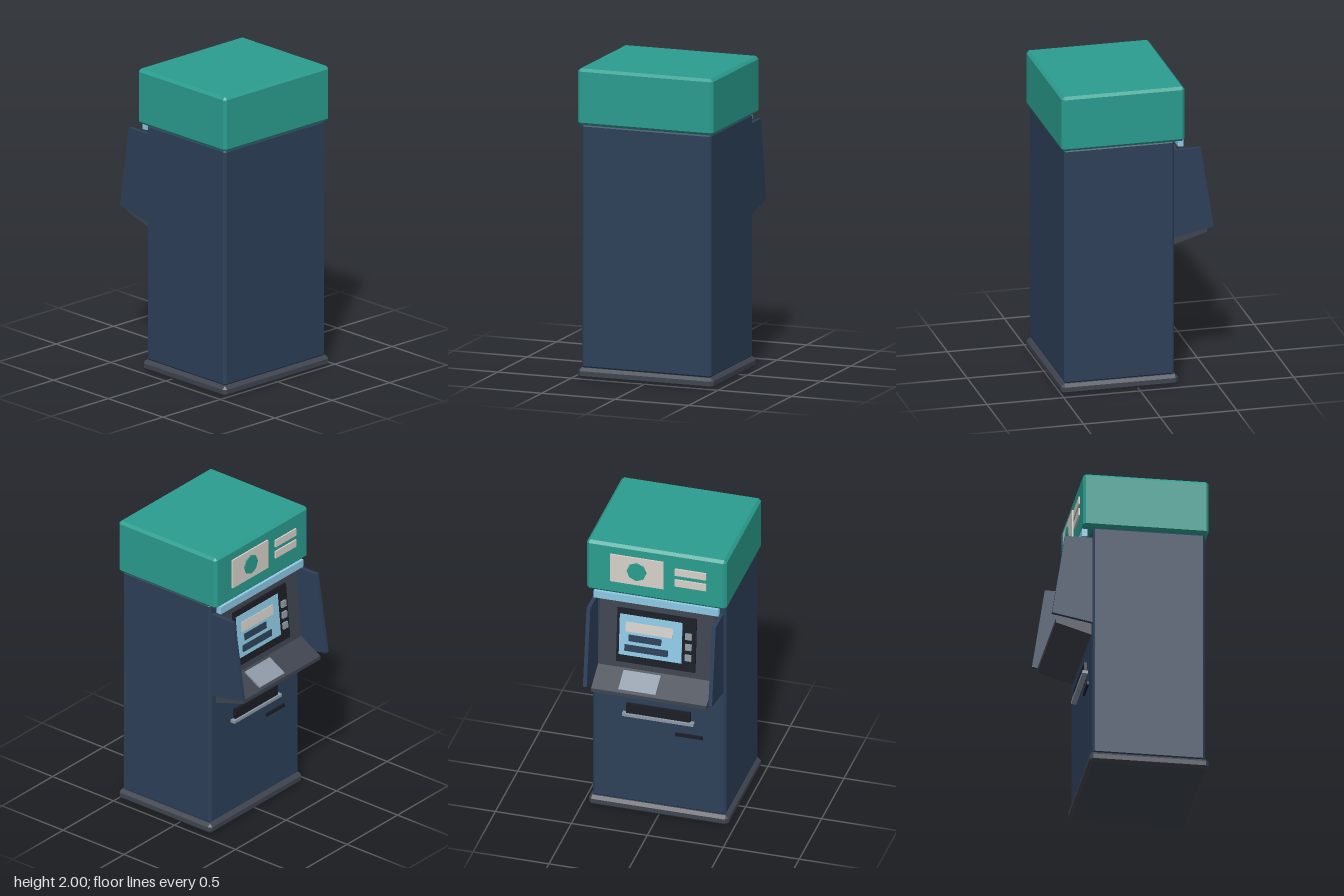
import * as THREE from 'three';
import { ConvexGeometry } from 'three/addons/geometries/ConvexGeometry.js';

const mat = (name, color) => {
  const m = new THREE.MeshStandardMaterial({ color });
  m.name = name;
  return m;
};

export function createModel() {
  const teal = mat('teal', 0x2a9d8f);
  const navy = mat('navy', 0x2d4059);
  const grey = mat('dark grey', 0x3f444f);
  const black = mat('near black', 0x1c1e26);
  const blue = mat('light blue', 0x8ecae6);
  const cream = mat('cream', 0xd8d3cb);
  const silver = mat('silver', 0x8d99a6);

  const root = new THREE.Group();
  root.name = 'kiosk';

  const add = (parent, name, geometry, material) => {
    const mesh = new THREE.Mesh(geometry, material);
    mesh.name = name;
    parent.add(mesh);
    return mesh;
  };

  // Plain box given by its extents on each axis
  const box = (parent, name, material, [x0, x1], [y0, y1], [z0, z1]) => {
    const mesh = add(parent, name, new THREE.BoxGeometry(x1 - x0, y1 - y0, z1 - z0), material);
    mesh.position.set((x0 + x1) / 2, (y0 + y1) / 2, (z0 + z1) / 2);
    return mesh;
  };

  // Box with all edges chamfered by c
  const chamferBox = (name, material, [x0, x1], [y0, y1], [z0, z1], c) => {
    const h = [(x1 - x0) / 2, (y1 - y0) / 2, (z1 - z0) / 2];
    const points = [];
    for (const sx of [-1, 1]) for (const sy of [-1, 1]) for (const sz of [-1, 1])
      for (let axis = 0; axis < 3; axis++) {
        const e = h.map((v, i) => (i === axis ? v : v - c));
        points.push(new THREE.Vector3(sx * e[0], sy * e[1], sz * e[2]));
      }
    const mesh = add(root, name, new ConvexGeometry(points), material);
    mesh.position.set((x0 + x1) / 2, (y0 + y1) / 2, (z0 + z1) / 2);
  };

  // Side profile of [z, y] points, extruded across x
  const prism = (name, material, profile, x0, x1) => {
    const shape = new THREE.Shape(profile.map(([z, y]) => new THREE.Vector2(z, y)));
    const geometry = new THREE.ExtrudeGeometry(shape, { depth: x1 - x0, bevelEnabled: false });
    geometry.rotateY(-Math.PI / 2).translate(x1, 0, 0);
    add(root, name, geometry, material);
  };

  // Cabinet
  chamferBox('base', grey, [-0.46, 0.46], [0, 0.07], [-0.26, 0.5], 0.02);
  chamferBox('body', navy, [-0.44, 0.44], [0.065, 1.64], [-0.24, 0.48], 0.015);
  chamferBox('header', teal, [-0.46, 0.46], [1.635, 2], [-0.303, 0.5], 0.018);

  // Header signs
  box(root, 'signPlate', cream, [-0.05, 0.3], [1.73, 1.93], [-0.313, -0.303]);
  const emblem = add(root, 'signDisc', new THREE.CylinderGeometry(0.065, 0.065, 0.008, 8).rotateX(Math.PI / 2), teal);
  emblem.position.set(0.125, 1.83, -0.316);
  for (const y of [1.87, 1.79])
    box(root, 'signStrip', cream, [-0.33, -0.125], [y - 0.025, y + 0.025], [-0.313, -0.303]);

  // Light under the header
  box(root, 'lightBar', blue, [-0.41, 0.41], [1.585, 1.635], [-0.305, -0.27]);

  // Console with sloping screen panel and shelf
  prism('console', grey, [
    [-0.23, 0.912], [-0.23, 1.575], [-0.265, 1.575], [-0.31, 1.1], [-0.467, 1.01], [-0.467, 0.985],
  ], -0.38, 0.38);

  // Privacy wings
  const wing = [[-0.23, 0.98], [-0.23, 1.57], [-0.415, 1.57], [-0.497, 1.032]];
  prism('leftWing', navy, wing, 0.4, 0.425);
  prism('rightWing', navy, wing, -0.425, -0.4);

  // Screen assembly, leaning with the console
  const screen = new THREE.Group();
  screen.name = 'screenPanel';
  screen.position.set(0, 1.335, -0.2877);
  screen.rotation.x = Math.atan2(0.045, 0.475);
  root.add(screen);
  box(screen, 'bezel', black, [-0.26, 0.26], [-0.19, 0.187], [-0.014, 0.005]);
  box(screen, 'display', blue, [-0.17, 0.242], [-0.137, 0.15], [-0.018, -0.013]);
  box(screen, 'displayTitle', cream, [-0.11, 0.2], [0.033, 0.1], [-0.023, -0.017]);
  box(screen, 'displayLine', navy, [-0.035, 0.18], [-0.033, 0.012], [-0.023, -0.017]);
  box(screen, 'displayLine', navy, [-0.08, 0.205], [-0.105, -0.06], [-0.023, -0.017]);
  for (const y of [0.062, -0.013, -0.088])
    box(screen, 'button', silver, [-0.235, -0.193], [y - 0.021, y + 0.021], [-0.028, -0.013]);

  // Keypad plate lying on the shelf
  const keypad = add(root, 'keypad', new THREE.BoxGeometry(0.245, 0.012, 0.142), silver);
  keypad.position.set(0.0825, 1.058, -0.3925);
  keypad.rotation.x = -Math.atan2(0.09, 0.157);

  // Dispenser and receipt slots
  box(root, 'dispenserSlot', black, [-0.21, 0.21], [0.73, 0.8], [-0.26, -0.235]);
  box(root, 'dispenserLip', silver, [-0.235, 0.235], [0.712, 0.732], [-0.273, -0.235]);
  box(root, 'receiptSlot', black, [-0.29, -0.11], [0.61, 0.632], [-0.252, -0.235]);

  return root;
}
